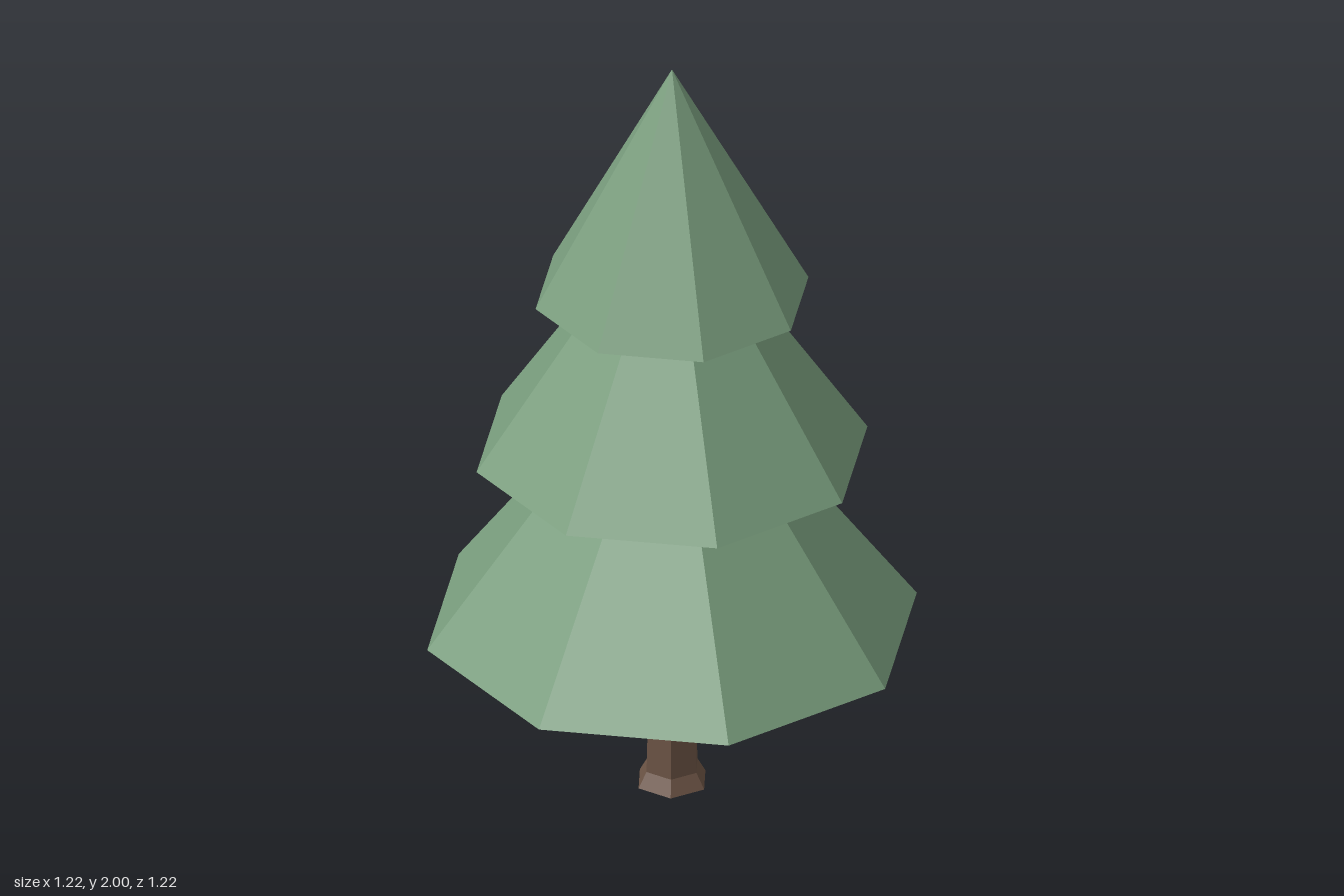
import * as THREE from 'three';

export function createModel() {
  const tree = new THREE.Group();
  tree.name = 'pineTree';

  const needles = new THREE.MeshStandardMaterial({ color: 0x7a9e7e, flatShading: true });
  needles.name = 'needle green';
  const bark = new THREE.MeshStandardMaterial({ color: 0x6b5344, flatShading: true });
  bark.name = 'bark brown';

  // Eight-sided foliage tiers: [name, base height, base radius, apex height]
  const tiers = [
    ['lowerFoliage', 0.445, 0.61, 1.27],
    ['middleFoliage', 0.93, 0.487, 1.66],
    ['topFoliage', 1.37, 0.34, 2],
  ];
  for (const [name, base, radius, apex] of tiers) {
    const tier = new THREE.Mesh(new THREE.ConeGeometry(radius, apex - base, 8), needles);
    tier.name = name;
    tier.position.y = (base + apex) / 2;
    tree.add(tier);
  }

  // Six-sided trunk with a flared foot, corners on the x axis
  const profile = [[0, 0], [0.092, 0], [0.07, 0.04], [0.06, 0.46], [0, 0.46]]
    .map(([r, y]) => new THREE.Vector2(r, y));
  const trunk = new THREE.Mesh(new THREE.LatheGeometry(profile, 6, Math.PI / 6), bark);
  trunk.name = 'trunk';
  tree.add(trunk);

  return tree;
}
